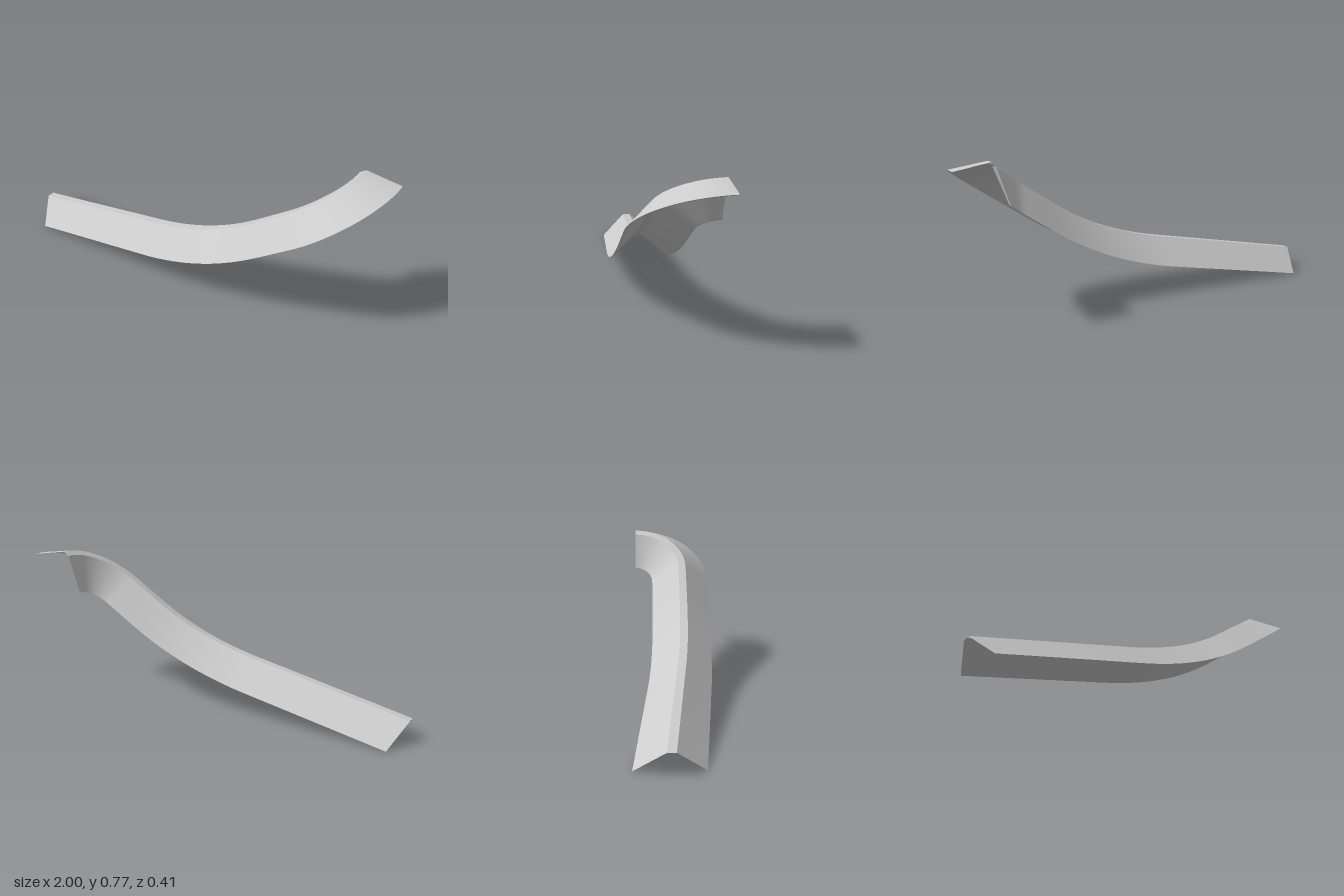
import * as THREE from 'three';
import { mergeGeometries } from 'three/addons/utils/BufferGeometryUtils.js';

const BACK = -0.207;   // z of the end that turns towards the back
const STEPS = 16;      // samples per curved stretch

// Straight, smoothly bent, straight again: one height curve for each level
function bentLine(x0, y0, s0, x1, y1, s1) {
  return (x) => {
    if (x <= x0) return y0 + s0 * (x - x0);
    if (x >= x1) return y1 + s1 * (x - x1);
    const w = x1 - x0, t = (x - x0) / w, u = 1 - t;
    return y0 * (1 + 2 * t) * u * u + s0 * w * t * u * u
      + y1 * t * t * (3 - 2 * t) - s1 * w * t * t * u;
  };
}
const lowHeight = bentLine(-0.19, 0.133, 0.178, 0.487, 0.403, 0.672);
const highHeight = bentLine(-0.19, 0.262, 0.187, 0.4, 0.494, 0.672);
const sideDrift = bentLine(-0.2, -0.028, 0.094, 0.45, 0, 0);

// A rail: gentle run in plan, then a quarter ellipse to the back.
// inset moves it sideways in plan, drop moves it down.
function rail({ start, z, bend, end, height }, inset, drop) {
  const plan = [];
  const knots = [start, -0.19, 0.43, bend];
  const counts = [2, STEPS, 4];
  counts.forEach((n, k) => {
    for (let i = 0; i < n; i++) {
      const x = knots[k] + (knots[k + 1] - knots[k]) * i / n;
      plan.push([x, z + sideDrift(x)]);
    }
  });
  for (let i = 0; i <= 2 * STEPS; i++) {
    const a = Math.PI / 2 * i / (2 * STEPS);
    plan.push([bend + (end - bend) * Math.sin(a), BACK + (z - BACK) * Math.cos(a)]);
  }
  const last = plan.length - 1;
  return plan.map(([x, zz], i) => {
    const p = plan[Math.max(i - 1, 0)], q = plan[Math.min(i + 1, last)];
    let dx = q[0] - p[0], dz = q[1] - p[1];
    if (i === 0) { dx = 1; dz = 0; }
    if (i === last) { dx = 0; dz = -1; }
    const l = Math.hypot(dx, dz);
    const px = x + inset * dz / l, pz = zz - inset * dx / l;
    return new THREE.Vector3(px, height(px) - drop, pz);
  });
}

// Smooth ruled surface between two rails
function strip(a, b) {
  const pos = [], index = [];
  a.forEach((p, i) => {
    pos.push(...p.toArray(), ...b[i].toArray());
    if (i < a.length - 1) {
      const k = 2 * i;
      index.push(k, k + 2, k + 1, k + 1, k + 2, k + 3);
    }
  });
  const g = new THREE.BufferGeometry();
  g.setAttribute('position', new THREE.Float32BufferAttribute(pos, 3));
  g.setIndex(index);
  g.computeVertexNormals();
  return g;
}

export function createModel() {
  const group = new THREE.Group();
  const material = new THREE.MeshStandardMaterial({ color: 0xcccccc });

  // Front edge, two ridge creases, rear edge
  const specs = [
    { start: -0.93, z: 0.207, bend: 0.65, end: 1.0, height: lowHeight },
    { start: -1.0, z: 0.081, bend: 0.56, end: 0.82, height: highHeight },
    { start: -1.0, z: 0.04, bend: 0.56, end: 0.79, height: highHeight },
    { start: -0.93, z: -0.11, bend: 0.63, end: 0.73, height: lowHeight },
  ];
  const outer = specs.map((s) => rail(s, 0, 0));
  const insets = [0.008, 0.003, -0.01, -0.008];
  const drops = [0, 0.01, 0.01, 0];
  const inner = specs.map((s, i) => rail(s, insets[i], drops[i]));
  const end = outer[0].length - 1;

  // Three thin panels, closed at both ends and along the free edges
  ['frontFlange', 'ridge', 'rearFlange'].forEach((name, i) => {
    const a = outer[i], b = outer[i + 1], c = inner[i + 1], d = inner[i];
    const parts = [
      strip(a, b),
      strip(c, d),
      strip([d[0], c[0]], [a[0], b[0]]),
      strip([a[end], b[end]], [d[end], c[end]]),
    ];
    if (i === 0) parts.push(strip(d, a));
    if (i === 2) parts.push(strip(b, c));
    const mesh = new THREE.Mesh(mergeGeometries(parts), material);
    mesh.name = name;
    group.add(mesh);
  });
  return group;
}
